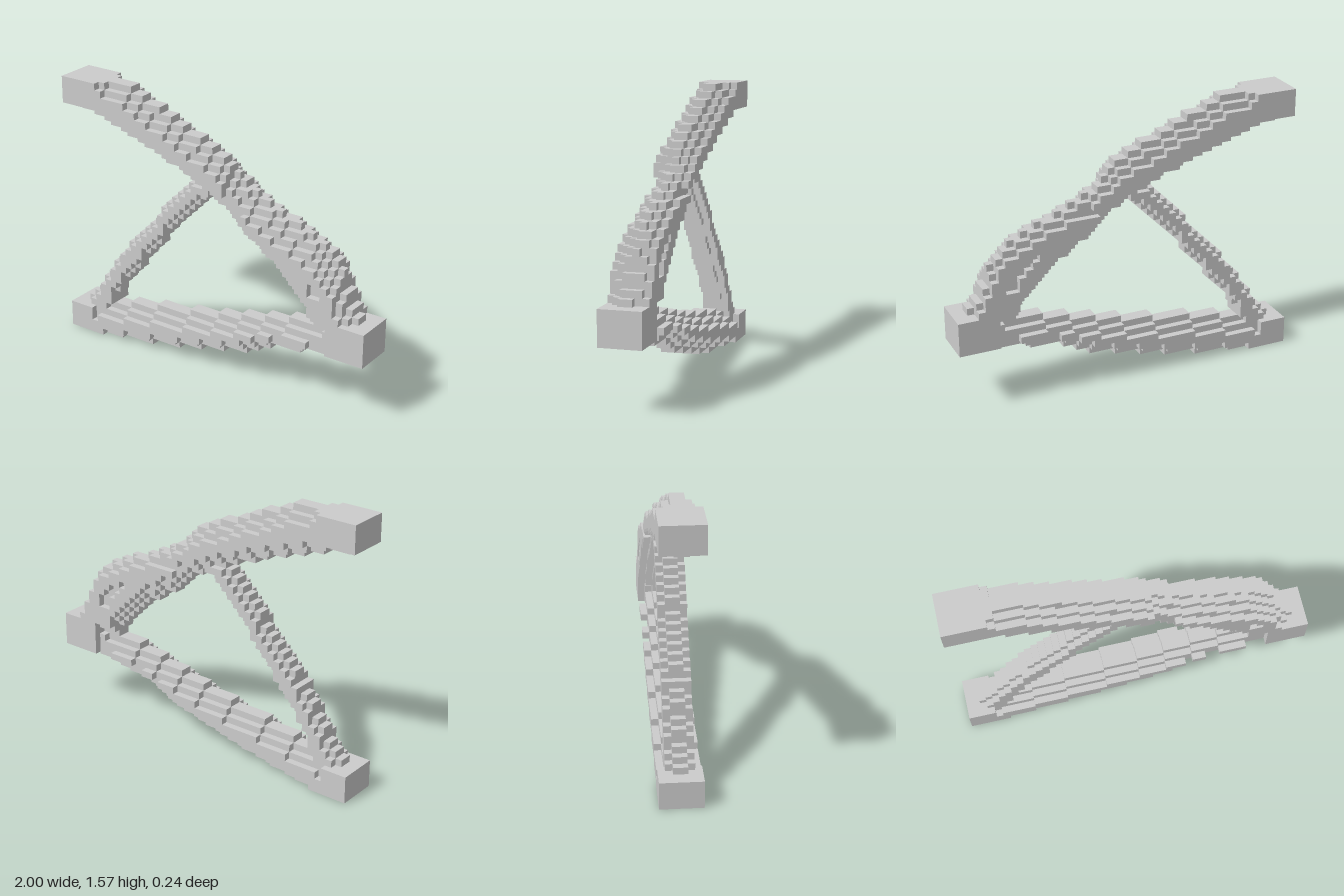
import * as THREE from 'three';

// Stepped bracket on a regular grid of 51 x 40 x 6 cubes
const NX = 51, NY = 40, NZ = 6, S = 2 / NX;

// Piecewise linear profile through [t, value] points
function profile(points) {
  return (t) => {
    if (t <= points[0][0]) return points[0][1];
    for (let n = 1; n < points.length; n++) {
      const [a, va] = points[n - 1], [b, vb] = points[n];
      if (t <= b) return va + ((vb - va) * (t - a)) / (b - a);
    }
    return points[points.length - 1][1];
  };
}

// Top and bottom edges of the beams, y by x
const upperTop = profile([[-0.75, 1.6], [-0.57, 1.549], [-0.3, 1.43], [-0.02, 1.314], [0.06, 1.275], [0.18, 1.157]]);
const upperBottom = profile([[-0.98, 1.41], [-0.73, 1.34], [-0.3, 1.19], [-0.1, 1.11], [0.0, 1.06], [0.1, 1.0]]);
const archTop = profile([[0.06, 1.27], [0.18, 1.157], [0.25, 1.118], [0.4, 1.05], [0.53, 1.0], [0.68, 0.93], [0.76, 0.85],
  [0.8, 0.8], [0.84, 0.67], [0.92, 0.58]]);
const archBottom = profile([[0.0, 1.06], [0.1, 1.01], [0.2, 0.9], [0.41, 0.76], [0.64, 0.53], [0.66, 0.46]]);
const lowerTop = profile([[-0.92, 0.16], [-0.73, 0.19], [-0.61, 0.216], [-0.41, 0.255], [0.02, 0.333], [0.33, 0.412],
  [0.49, 0.451], [0.8, 0.5]]);
const lowerBottom = profile([[-0.77, -0.04], [-0.45, 0.02], [-0.26, 0.059], [0.06, 0.137], [0.2, 0.176], [0.37, 0.255],
  [0.53, 0.285], [0.8, 0.33]]);
// Sides of the diagonal brace, x by y
const braceLeft = profile([[0.15, -0.93], [0.28, -0.82], [0.45, -0.72], [0.55, -0.64], [0.8, -0.42], [0.96, -0.29], [1.08, -0.18]]);
const braceRight = profile([[0.15, -0.74], [0.31, -0.69], [0.43, -0.59], [0.58, -0.47], [0.82, -0.28], [0.99, -0.12], [1.1, 0.02]]);

// The arch leans to the back: drop of its top edge for each layer, back to front
const ARCH_DROP = [0.06, 0.02, 0, 0.03, 0.07, 0.12];

// Name of the part that fills a cell, or null
function partAt(i, j, k) {
  if (i < 0 || j < 0 || k < 0 || i >= NX || j >= NY || k >= NZ) return null;
  const x = (i + 0.5) * S - 1, y = (j + 0.5) * S;
  const layer = Math.max(2 - k, k - 3); // 0 in the middle, 2 on the outside
  const within = (low, high) => y > low + layer * 0.035 && y < high - layer * 0.04;

  // Solid mounting ends
  if (x > 0.765 && y > 0.353 && y < 0.55) return 'loadBlock';
  if (x < -0.76 && y < (x < -0.84 ? 0.157 : 0.157 - layer * 0.03)) return 'lowerMount';
  if (x < -0.76 && y > Math.min(1.41, upperBottom(x) + layer * 0.035)) return 'upperMount';

  // Beams, rounded off towards the outer layers
  if (x < 0.8 && within(lowerBottom(x), lowerTop(x))) return 'lowerBeam';
  const waist = layer === 2 && j === 26;
  if (x < 0.1 && !waist && within(upperBottom(x), upperTop(x))) return 'upperBeam';
  if (x >= 0.1 && x < 0.92 - layer * 0.02 && !waist) {
    const low = archBottom(x) + layer * 0.045, high = archTop(x) - ARCH_DROP[k];
    const notch = k === NZ - 1 && i === 30;
    // Recessed web between the strut and the arch
    const web = layer === 2 && x > 0.3 && x < 0.74 && y > low + 0.11 && y < high - 0.08;
    if (y > low && y < high && !notch && !web) return 'archedLeg';
  }

  // Diagonal brace, four layers deep
  if (layer < 2 && y > 0.08 && y < 1.1 &&
    x > braceLeft(y) + layer * 0.025 && x < braceRight(y) - layer * 0.025) return 'diagonalBrace';
  return null;
}

// The six faces of a cell: normal axis, then two axes turning around it
const FACES = [];
for (let axis = 0; axis < 3; axis++) {
  for (const sign of [1, -1]) {
    const u = (axis + (sign > 0 ? 1 : 2)) % 3, v = (axis + (sign > 0 ? 2 : 1)) % 3;
    const normal = [0, 0, 0];
    normal[axis] = sign;
    const corners = [[0, 0], [1, 0], [1, 1], [0, 0], [1, 1], [0, 1]].map(([a, b]) => {
      const c = [0, 0, 0];
      c[axis] = sign > 0 ? 1 : 0;
      c[u] = a;
      c[v] = b;
      return c;
    });
    FACES.push({ normal, corners });
  }
}

export function createModel() {
  const group = new THREE.Group();
  group.name = 'bracket';
  const grey = new THREE.MeshStandardMaterial({ color: 0xcccccc });
  grey.name = 'light grey';

  // Collect the exposed cell faces of each part
  const parts = {};
  for (let i = 0; i < NX; i++) for (let j = 0; j < NY; j++) for (let k = 0; k < NZ; k++) {
    const name = partAt(i, j, k);
    if (!name) continue;
    const part = (parts[name] ??= { positions: [], normals: [] });
    for (const { normal, corners } of FACES) {
      if (partAt(i + normal[0], j + normal[1], k + normal[2])) continue;
      for (const [a, b, c] of corners) {
        part.positions.push((i + a) * S - 1, (j + b) * S, (k + c - NZ / 2) * S);
        part.normals.push(...normal);
      }
    }
  }

  for (const [name, { positions, normals }] of Object.entries(parts)) {
    const geometry = new THREE.BufferGeometry();
    geometry.setAttribute('position', new THREE.Float32BufferAttribute(positions, 3));
    geometry.setAttribute('normal', new THREE.Float32BufferAttribute(normals, 3));
    const mesh = new THREE.Mesh(geometry, grey);
    mesh.name = name;
    group.add(mesh);
  }
  return group;
}
